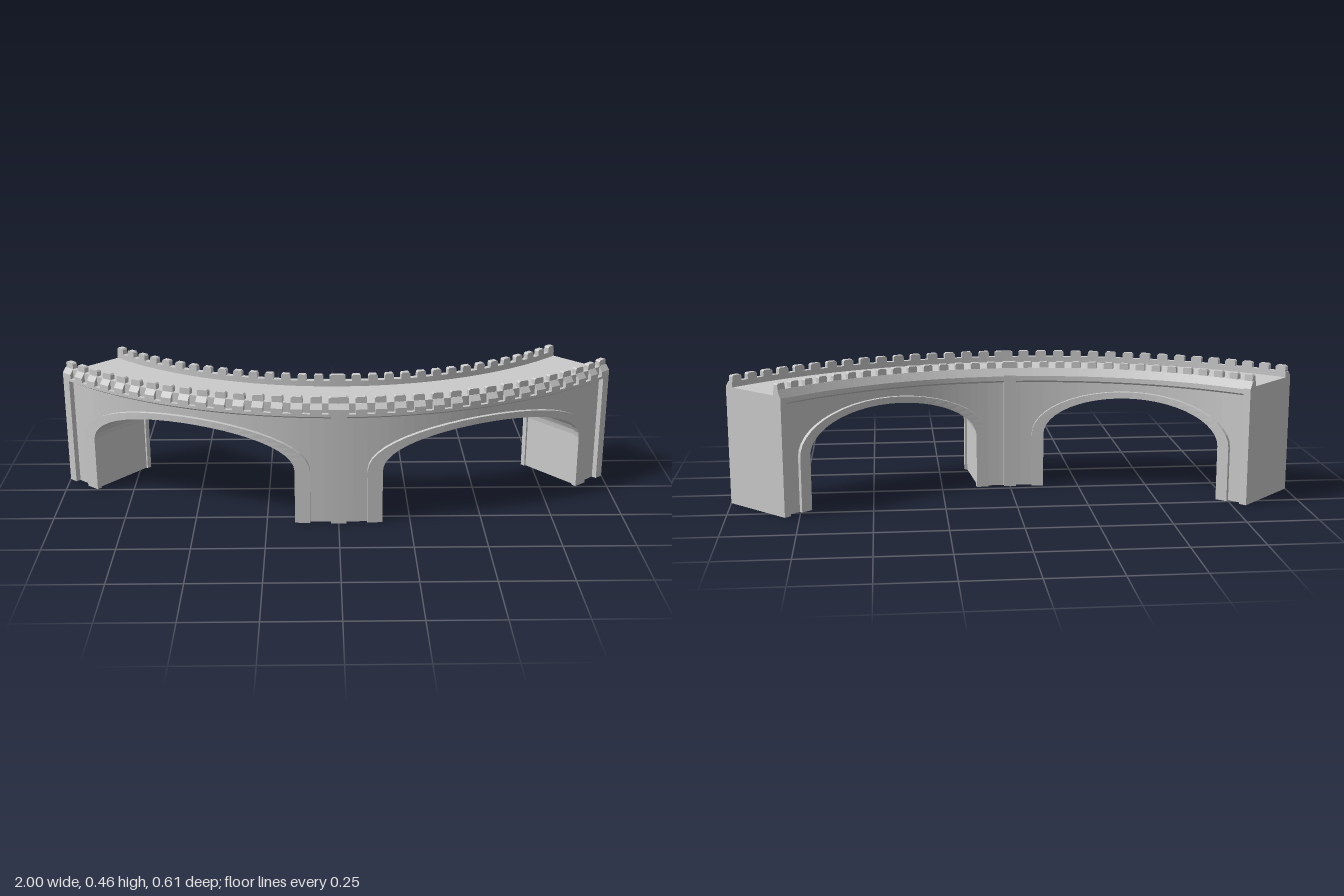
import * as THREE from 'three';

const DEG = Math.PI / 180;
const CENTRE_Z = -1.104; // centre of the bridge's plan arc
const SPRING = 0.195; // height where the arches start to curve
const DECK = 0.42;
const material = new THREE.MeshStandardMaterial({ color: 0xcccccc, flatShading: true });

// Polar point: angle in degrees from the front, height, radius
const polar = ([a, y, r]) =>
  new THREE.Vector3(r * Math.sin(a * DEG), y, CENTRE_Z + r * Math.cos(a * DEG));

// Skin a run of convex cross-sections (each a loop of polar points) and cap its ends
function loft(name, sections) {
  const rings = sections.map((s) => s.map(polar));
  const pos = [];
  const tri = (a, b, c) => {
    const area = b.clone().sub(a).cross(c.clone().sub(a)).length();
    if (area > 1e-9) for (const p of [a, b, c]) pos.push(p.x, p.y, p.z);
  };
  const n = rings[0].length;
  for (let i = 0; i < rings.length - 1; i++) {
    const p = rings[i], q = rings[i + 1];
    for (let j = 0; j < n; j++) {
      const k = (j + 1) % n;
      tri(p[j], q[j], q[k]);
      tri(p[j], q[k], p[k]);
    }
  }
  const first = rings[0], last = rings[rings.length - 1];
  for (let j = 1; j < n - 1; j++) {
    tri(first[0], first[j], first[j + 1]);
    tri(last[0], last[j + 1], last[j]);
  }
  const geo = new THREE.BufferGeometry();
  geo.setAttribute('position', new THREE.Float32BufferAttribute(pos, 3));
  geo.computeVertexNormals();
  const mesh = new THREE.Mesh(geo, material);
  mesh.name = name;
  return mesh;
}

// Sweep one [radius, height] profile between two angles
function sweep(name, a0, a1, profile, steps = 1) {
  const sections = [];
  for (let i = 0; i <= steps; i++) {
    const a = a0 + ((a1 - a0) * i) / steps;
    sections.push(profile.map(([r, y]) => [a, y, r]));
  }
  return loft(name, sections);
}

const rect = (r0, r1, y0, y1) => [[r0, y0], [r1, y0], [r1, y1], [r0, y1]];

// Arch outline as [angle, height]: straight jambs and an elliptical head
function archLine(mid, halfWidth, rise, steps = 24) {
  const pts = [[mid - halfWidth, 0]];
  for (let i = 0; i <= steps; i++) {
    const t = Math.PI * (1 - i / steps);
    pts.push([mid + halfWidth * Math.cos(t), SPRING + rise * Math.sin(t)]);
  }
  pts.push([mid + halfWidth, 0]);
  return pts;
}

// Block with a slightly bevelled top
function merlon(a, half, r0, r1) {
  const s = (t, y) => rect(r0, r1, 0.435, y).map(([r, h]) => [a + t, h, r]);
  return loft('merlon', [
    s(-half, 0.457), s(-half * 0.75, 0.462), s(half * 0.75, 0.462), s(half, 0.457),
  ]);
}

export function createModel() {
  const bridge = new THREE.Group();
  bridge.name = 'curvedBridge';

  // Spandrel walls, piers and deck in one body, pierced by two arches
  const underside = [[-45, 0], ...archLine(-22.5, 16.65, 0.147)];
  for (let a = -4; a <= 4; a += 2) underside.push([a, 0]);
  underside.push(...archLine(22.5, 16.65, 0.147), [45, 0]);
  bridge.add(loft('body', underside.map(([a, y]) =>
    rect(1.15, 1.397, y, DECK).map(([r, h]) => [a, h, r]))));

  // Raised arch surrounds on both faces
  for (const mid of [-22.5, 22.5]) {
    const inner = archLine(mid, 16.3, 0.142);
    const outer = archLine(mid, 18.45, 0.165);
    for (const [r0, r1] of [[1.136, 1.154], [1.392, 1.411]]) {
      bridge.add(loft('archSurround', inner.map(([a, y], i) => {
        const [b, h] = outer[i];
        return [[a, y, r0], [a, y, r1], [b, h, r1], [b, h, r0]];
      })));
    }
  }

  // Full-depth pilasters at the ends and the central pier
  for (const [a0, a1] of [[-45, -43.6], [-1.1, 1.1], [43.6, 45]]) {
    bridge.add(sweep('pilaster', a0, a1, rect(1.131, 1.414, 0, 0.415), 2));
  }

  // Cornices and parapet walls
  bridge.add(sweep('outerCornice', -45, 45,
    [[1.385, 0.386], [1.397, 0.386], [1.414, 0.396], [1.414, 0.406], [1.385, 0.406]], 64));
  bridge.add(sweep('outerParapet', -45, 45, rect(1.379, 1.4, 0.4, 0.44), 64));
  bridge.add(sweep('innerParapet', -45, 45,
    [[1.131, 0.395], [1.15, 0.386], [1.166, 0.386], [1.166, 0.44], [1.145, 0.44], [1.131, 0.412]], 64));

  // Sloped corbel teeth along the outer cornice
  const tooth = [[1.39, 0.4], [1.414, 0.4], [1.414, 0.422], [1.4, 0.44], [1.39, 0.44]];
  const addCorbel = (a, half) => bridge.add(sweep('corbel', a - half, a + half, tooth));

  // Battlements, mirrored about the central pier
  const rows = [
    { count: 16, r0: 1.379, r1: 1.398, corbels: true },
    { count: 15, r0: 1.146, r1: 1.166, corbels: false },
  ];
  for (const { count, r0, r1, corbels } of rows) {
    bridge.add(merlon(0, 1.4, r0, r1));
    if (corbels) addCorbel(0, 1.4);
    const last = 44.1;
    const pitch = (last - 0.4) / count;
    for (let i = 1; i <= count; i++) {
      for (const side of [-1, 1]) {
        const a = side * (last - (count - i) * pitch);
        bridge.add(merlon(a, 0.8, r0, r1));
        if (corbels) addCorbel(a, i === count ? 0.9 : 0.8);
      }
    }
  }
  return bridge;
}
